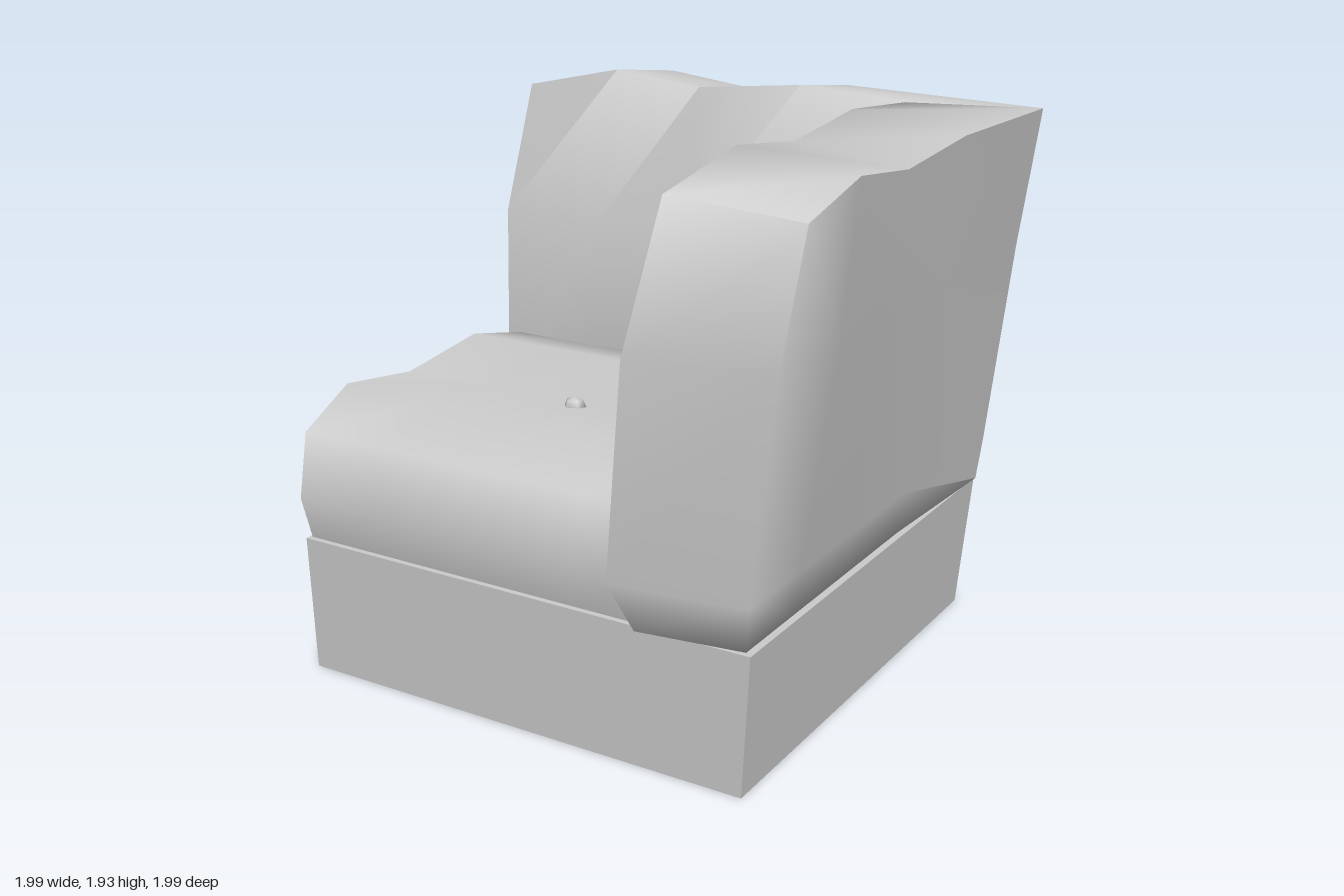
import * as THREE from 'three';
import { toCreasedNormals } from 'three/addons/utils/BufferGeometryUtils.js';

const material = new THREE.MeshStandardMaterial({ color: 0xcccccc });

// Skin a row of 8-point rings and close the first ring with a cap.
function loft(rings, flip, crease) {
  const n = 8, index = [];
  const quad = (a, b, c, d) => index.push(...(flip ? [a, c, b, a, d, c] : [a, b, c, a, c, d]));
  for (let i = 0; i < rings.length - 1; i++) {
    for (let j = 0; j < n; j++) {
      const k = (j + 1) % n;
      quad(i * n + j, (i + 1) * n + j, (i + 1) * n + k, i * n + k);
    }
  }
  for (let j = 0; j < 3; j++) quad(j, j + 1, 6 - j, 7 - j);
  const geometry = new THREE.BufferGeometry();
  geometry.setAttribute('position', new THREE.Float32BufferAttribute(rings.flat(2), 3));
  geometry.setIndex(index);
  return toCreasedNormals(geometry, crease);
}

function addMesh(group, name, geometry) {
  const mesh = new THREE.Mesh(geometry, material);
  mesh.name = name;
  group.add(mesh);
  return mesh;
}

// Backrest sections as [outward, height]: up the inner face, then down the outer one.
const END = [[0.45, 0.49], [0.37, 0.64], [0.46, 1.37], [0.57, 1.85], [0.98, 1.8], [0.93, 1.37], [0.83, 0.64], [0.81, 0.49]];
const PUFF = [[0.43, 0.49], [0.35, 0.64], [0.44, 1.37], [0.59, 1.93], [0.99, 1.88], [0.94, 1.37], [0.83, 0.64], [0.81, 0.49]];
const TUCK = [[0.45, 0.49], [0.42, 0.64], [0.49, 1.37], [0.6, 1.89], [0.98, 1.84], [0.93, 1.37], [0.83, 0.64], [0.81, 0.49]];
const MITRE = [[0.45, 0.49], [0.41, 0.64], [0.47, 1.37], [0.6, 1.9], [0.965, 1.86], [0.915, 1.37], [0.855, 0.64], [0.84, 0.49]];
const END_ALONG = [-0.92, -0.95, -1, -0.95, -0.87, -0.93, -0.89, -0.87];

// place(along, height, outward) puts the cushion on either side of the corner.
function backrest(place, flip) {
  const rings = [
    END.map(([w, y], j) => place(END_ALONG[j], y, w)),
    PUFF.map(([w, y]) => place(-0.57, y, w)),
    TUCK.map(([w, y]) => place(-0.22, y, w)),
    PUFF.map(([w, y]) => place(0.2, y, w)),
    MITRE.map(([w, y]) => place(w, y, w)),
  ];
  return loft(rings, flip, 1.47);
}

export function createModel() {
  const group = new THREE.Group();

  // Base block, slightly narrower at the floor
  const box = new THREE.BoxGeometry(1, 0.49, 1);
  const p = box.attributes.position;
  for (let i = 0; i < p.count; i++) {
    const top = p.getY(i) > 0;
    const x = p.getX(i) > 0 ? (top ? 0.835 : 0.8) : -0.89;
    const z = p.getZ(i) > 0 ? (top ? 0.89 : 0.87) : (top ? -0.835 : -0.8);
    p.setXYZ(i, x, top ? 0.49 : 0, z);
  }
  box.computeVertexNormals();
  addMesh(group, 'base', box);

  // Two matching backrest cushions that meet at the corner
  const onBack = (u, y, w) => [u, y, -w];
  const onSide = (u, y, w) => [w, y, -u];
  addMesh(group, 'backCushion', backrest(onBack, false));
  addMesh(group, 'sideCushion', backrest(onSide, true));

  // Seat cushion: [z, y, x of the open end], with a dip across the middle
  const seat = [
    [0.87, 0.49, -0.88], [0.905, 0.64, -0.89], [0.85, 0.86, -0.9], [0.58, 0.95, -0.945],
    [0.22, 0.91, -0.915], [-0.15, 0.95, -0.945], [-0.5, 0.88, -0.9], [-0.55, 0.49, -0.88],
  ];
  const seatRings = [
    seat.map(([z, y, x]) => [x, y, z]),
    seat.map(([z, y]) => [-0.57, y, z]),
    seat.map(([z, y], j) => [-0.22, j === 4 ? 0.89 : y, z]),
    seat.map(([z, y]) => [0.2, y, z]),
    seat.map(([z, y]) => [0.48, y, z]),
  ];
  addMesh(group, 'seatCushion', loft(seatRings, false, 1.3));

  // Tufting buttons
  const button = new THREE.SphereGeometry(0.042, 5, 4);
  const spots = {
    backButton: onBack(-0.22, 1.36, 0.49),
    sideButton: onSide(-0.22, 1.36, 0.49),
    seatButton: [-0.22, 0.89, 0.24],
  };
  for (const [name, spot] of Object.entries(spots)) {
    addMesh(group, name, button).position.set(...spot);
  }
  return group;
}
